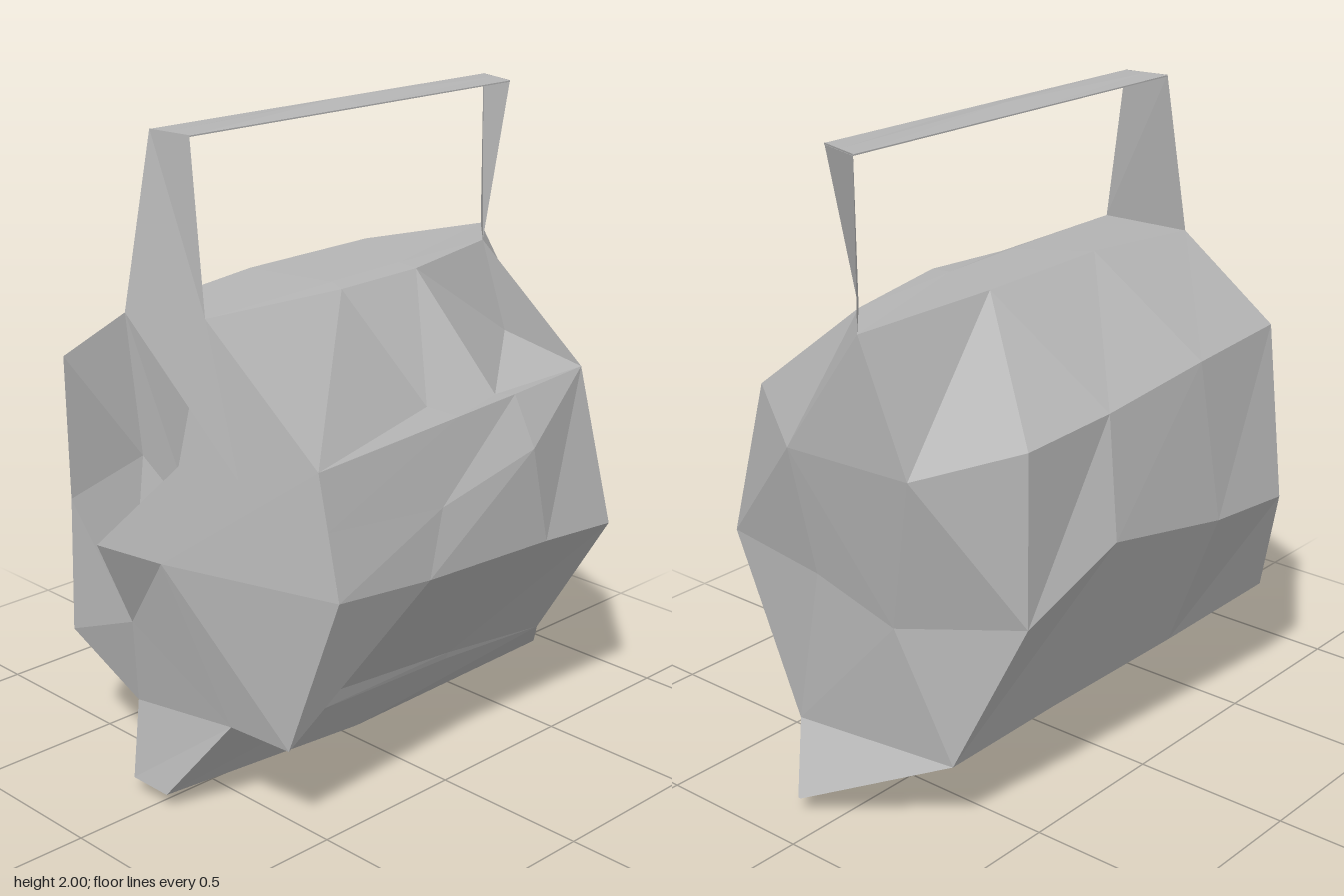
import * as THREE from 'three';

const grey = new THREE.MeshStandardMaterial({ color: 0xb4b4b4, flatShading: true, side: THREE.DoubleSide });
grey.name = 'grey';

// Faceted mesh from a list of triangles, each made of three [x, y, z] points
function facets(name, triangles) {
  const g = new THREE.BufferGeometry();
  g.setAttribute('position', new THREE.Float32BufferAttribute(triangles.flat(2), 3));
  g.computeVertexNormals();
  const mesh = new THREE.Mesh(g, grey);
  mesh.name = name;
  return mesh;
}

// Triangles joining closed rings from front to back
function loft(rings) {
  const out = [];
  for (let r = 0; r < rings.length - 1; r++) {
    const a = rings[r], b = rings[r + 1];
    for (let i = 0; i < a.length; i++) {
      const j = (i + 1) % a.length;
      out.push([a[i], a[j], b[i]], [a[j], b[j], b[i]]);
    }
  }
  return out;
}

export function createModel() {
  const group = new THREE.Group();

  // Body rings, clockwise from the top left as seen from the front: ridge (2), peak,
  // valley, ledge, bulge, side, underside (5), left shoulder, rear crease
  const front = [[-.12, 1.48, .68], [.14, 1.5, .61], [.14, 1.5, .61], [.52, 1.14, .55], [.52, 1.14, .55],
    [.56, .98, .553], [.61, .79, .56], [.45, .3, .6], [.24, .31, .63], [-.13, .28, .67],
    [-.49, .38, .63], [-.61, .75, .53], [-.49, 1.26, .625], [-.12, 1.48, .68]];
  const middle = [[-.13, 1.52, .2], [.11, 1.505, .1], [.15, 1.49, .1], [.38, 1.16, -.02], [.505, 1.16, -.02],
    [.56, .93, .1], [.59, .74, .18], [.22, .27, .24], [.2, .21, .25], [-.2, .2, .2],
    [-.44, .33, .2], [-.61, .78, .2], [-.53, 1.26, .2], [-.13, 1.52, .2]];
  const rear = [[-.15, 1.52, -.3], [.09, 1.505, -.2], [.16, 1.5, -.2], [.44, 1.16, -.25], [.5, 1.17, -.27],
    [.58, 1.02, -.27], [.59, .715, -.33], [.23, .235, -.3], [.22, .21, -.3], [-.22, .2, -.3],
    [-.39, .29, -.3], [-.61, .88, -.3], [-.54, 1.23, -.25], [-.15, 1.52, -.3]];
  const back = [[-.1, 1.5, -.78], [.06, 1.5, -.61], [.17, 1.23, -.6], [.48, 1.18, -.6], [.48, 1.18, -.6],
    [.48, 1.18, -.6], [.59, .69, -.63], [.25, .2, -.715], [.25, .2, -.715], [-.34, .24, -.69],
    [-.34, .24, -.69], [-.54, .7, -.6], [-.54, 1.22, -.6], [-.27, 1.12, -.78]];
  group.add(facets('body', loft([front, middle, rear, back])));

  // Front face with a sunken notch behind the spout
  const [tl, tr, , r1, , , r2, r3, br, bl, l3, l2, l1] = front;
  const tip = [-.04, .86, .87], chin = [-.09, .56, .715], cheek = [.08, .8, .74];
  const horn = [.1, 1.1, .65], brow = [-.11, 1.05, .64], notch = [.03, .87, .57];
  group.add(facets('frontFace', [
    [tl, l1, brow], [l1, l2, brow], [l2, chin, brow], [l2, l3, chin], [l3, bl, chin],
    [bl, br, chin], [chin, br, cheek], [br, r3, cheek], [r3, r2, cheek], [r2, r1, cheek],
    [r1, tr, cheek], [tr, notch, cheek], [tr, tl, notch], [tl, brow, notch], [brow, chin, notch],
  ]));
  group.add(facets('spout', [[chin, cheek, tip], [cheek, horn, tip], [horn, notch, tip], [notch, chin, tip]]));

  // Back face
  const [tl2, tr2, pit, q1, , , q2, br2, , bl2, , m2, m1, a] = back;
  const b = [.2, 1.1, -.77], c = [.16, .7, -.71], d = [-.14, .62, -.71];
  group.add(facets('backFace', [
    [tl2, b, a], [tl2, tr2, b], [tr2, q1, b], [tr2, pit, q1], [q1, q2, b], [b, q2, c], [q2, br2, c],
    [c, br2, d], [br2, bl2, d], [bl2, m2, d], [m2, a, d], [m2, m1, a], [a, b, d], [b, c, d],
  ]));

  // Keel under the body, running out to a point at the back
  const keel = [
    [br, [.05, .05, .72], [-.1, .05, .72], bl],
    [[.2, .22, -.06], [.06, 0, -.06], [-.04, .01, -.06], [-.2, .2, -.06]],
    [br2, [.11, .05, -.87], [.1, .05, -.87], bl2],
  ];
  const [k, , t] = keel;
  group.add(facets('keel', [...loft(keel), [k[0], k[3], k[2]], [k[0], k[2], k[1]],
    [t[0], t[1], t[3]], [t[1], t[2], t[3]]]));

  // Handle: two thin angled blades, the front one running down over the face
  const blade = (topL, topR, baseL, baseR) => [[topL, baseL, baseR], [topL, baseR, topR]];
  group.add(facets('frontPost', [
    ...blade([-.1, 1.985, .59], [.05, 1.985, .575], tl, tr), [tl, [.3, 1.08, .64], tr],
  ]));
  group.add(facets('backPost', blade([-.1, 1.985, -.775], [.05, 1.985, -.73], tl2, tr2)));

  // Flat bar between the posts
  const bar = [[.59, .575, 1.985], [-.08, -.08, 2], [-.775, -.73, 1.985]].map(([zl, zr, y]) =>
    [[-.1, 1.984, zl], [-.03, y, (zl + zr) / 2], [.05, 1.984, zr], [.05, 1.98, zr], [-.1, 1.98, zl]]);
  group.add(facets('topBar', loft(bar)));

  return group;
}
